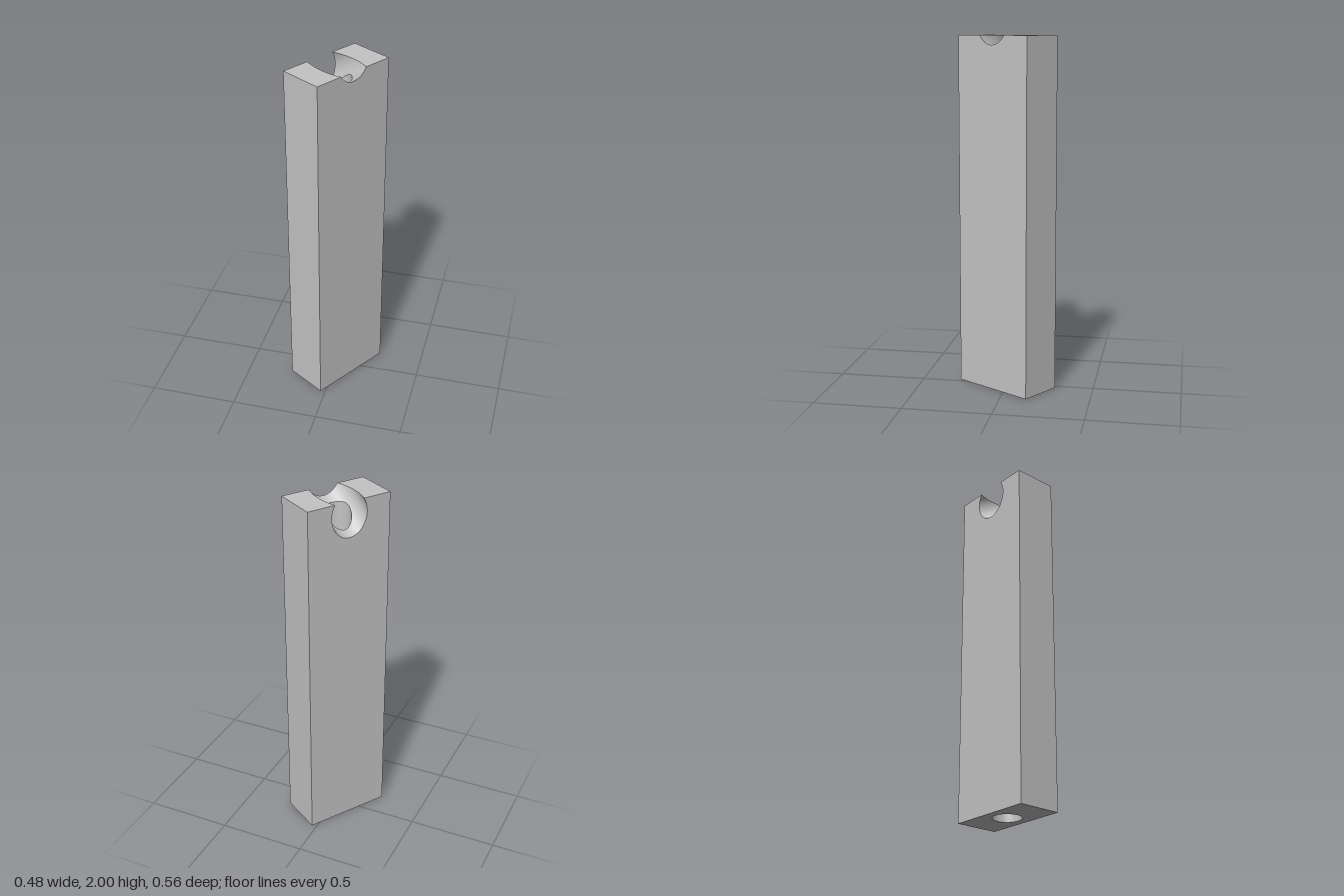
import * as THREE from 'three';

const U = 0.127, L = 0.253, H = 2;        // half thickness, half width, height
const BORE = 0.08;                        // vertical hole radius
const R = 0.1085, TILT = Math.PI / 6;     // slanted channel radius and slope
const A = R / Math.cos(TILT);             // channel's vertical half height
const SLOPE = Math.tan(TILT);

const grey = new THREE.MeshStandardMaterial({ color: 0xc4c4c4 });
grey.name = 'plain grey';

function addMesh(group, name, geometry) {
  const mesh = new THREE.Mesh(geometry, grey);
  mesh.name = name;
  group.add(mesh);
}

// Flat face: a 2D outline carried into space by a mapping rule
function panel(points, map, hole) {
  const shape = new THREE.Shape(points.map(([a, b]) => new THREE.Vector2(a, b)));
  if (hole) shape.holes.push(new THREE.Path().absarc(0, 0, hole, 0, Math.PI * 2, true));
  const geo = new THREE.ShapeGeometry(shape, 48);
  const pos = geo.attributes.position;
  for (let i = 0; i < pos.count; i++) pos.setXYZ(i, ...map(pos.getX(i), pos.getY(i)));
  geo.computeVertexNormals();
  return geo;
}

// Smooth ruled strip: rule(t) gives start point, end point and normal
function strip(n, rule) {
  const pos = [], nor = [], idx = [];
  for (let i = 0; i <= n; i++) {
    const [start, end, normal] = rule(i / n);
    pos.push(...start, ...end);
    nor.push(...normal, ...normal);
    const a = 2 * i;
    if (i < n) idx.push(a, a + 2, a + 1, a + 1, a + 2, a + 3);
  }
  const geo = new THREE.BufferGeometry();
  geo.setAttribute('position', new THREE.Float32BufferAttribute(pos, 3));
  geo.setAttribute('normal', new THREE.Float32BufferAttribute(nor, 3));
  geo.setIndex(idx);
  return geo;
}

// Outline of a wide side, notched where the channel breaks through at depth u
function notchedSide(u) {
  const from = Math.asin(-u * SLOPE / A), to = -Math.PI - from;
  const pts = [[-L, 0], [L, 0], [L, H]];
  for (let i = 0; i <= 64; i++) {
    const p = from + (to - from) * i / 64;
    pts.push([R * Math.cos(p), H + u * SLOPE + A * Math.sin(p)]);
  }
  pts.push([-L, H]);
  return pts;
}

export function createModel() {
  const group = new THREE.Group();
  group.name = 'drilledBlock';

  // Wide sides, narrow sides and underside
  addMesh(group, 'leftWideSide', panel(notchedSide(U), (a, b) => [U, b, -a]));
  addMesh(group, 'rightWideSide', panel(notchedSide(-U), (a, b) => [-U, b, a]));
  const narrow = [[-U, 0], [U, 0], [U, H], [-U, H]];
  addMesh(group, 'frontNarrowSide', panel(narrow, (a, b) => [a, b, L]));
  addMesh(group, 'backNarrowSide', panel(narrow, (a, b) => [-a, b, -L]));
  addMesh(group, 'underside',
    panel([[-U, -L], [U, -L], [U, L], [-U, L]], (a, b) => [a, 0, b], BORE));

  // Two top lands, each with a curved edge along the channel
  const land = [[U, L], [-U, L]];
  for (let i = 0; i <= 32; i++) {
    const u = -U + 2 * U * i / 32;
    land.push([u, R * Math.sqrt(1 - (u * SLOPE / A) ** 2)]);
  }
  addMesh(group, 'backTopLand', panel(land, (a, b) => [a, H, -b]));
  addMesh(group, 'frontTopLand', panel(land, (a, b) => [-a, H, b]));

  // Slanted channel, split either side of the bore
  const reach = Math.asin(U * SLOPE / A);
  for (const side of [-1, 1]) {
    const geo = strip(180, (t) => {
      const p = -Math.PI - reach + t * (Math.PI + 2 * reach);
      const s = Math.sin(p), v = R * Math.cos(p);
      const h = Math.sqrt(Math.max(0, BORE * BORE - v * v));
      const top = Math.min(U, -A * s / SLOPE);
      const at = (u) => [u, H + u * SLOPE + A * s, v];
      const [u0, u1] = side < 0
        ? [-U, Math.max(-U, Math.min(-h, top))]
        : [h, Math.max(h, top)];
      // above the rim the second strip collapses onto the first
      const low = side > 0 && top < h ? top : u0;
      const high = side > 0 && top < h ? top : u1;
      return [at(low), at(high),
        [Math.sin(TILT) * s, -Math.cos(TILT) * s, -Math.cos(p)]];
    });
    addMesh(group, side < 0 ? 'deepChannel' : 'shallowChannel', geo);
  }

  // Vertical bore, trimmed at the channel floor
  addMesh(group, 'bore', strip(96, (t) => {
    const c = Math.cos(t * Math.PI * 2), s = Math.sin(t * Math.PI * 2);
    const u = BORE * c, v = BORE * s;
    const y = H + u * SLOPE - Math.sqrt(R * R - v * v) / Math.cos(TILT);
    return [[u, 0, v], [u, y, v], [-c, 0, -s]];
  }));

  group.rotation.y = -0.563;
  return group;
}
